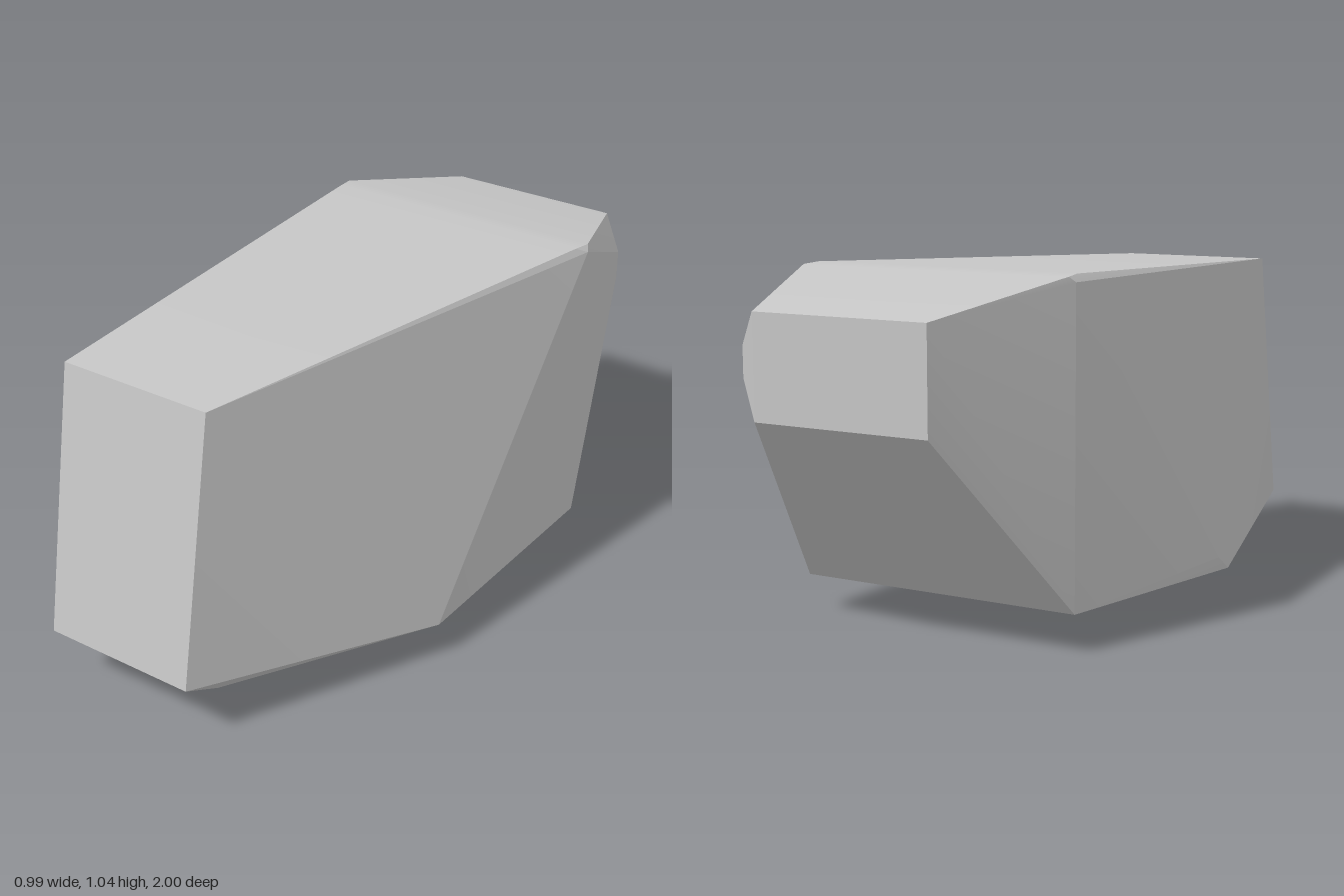
import * as THREE from 'three';
import { ConvexGeometry } from 'three/addons/geometries/ConvexGeometry.js';
import { toCreasedNormals } from 'three/addons/utils/BufferGeometryUtils.js';

export function createModel() {
  const group = new THREE.Group();
  group.name = 'rock';
  const stone = new THREE.MeshStandardMaterial({ color: 0xc6c6c6 });
  stone.name = 'light grey stone';

  const points = [];
  const add = (x, y, z) => points.push(new THREE.Vector3(x, y, z));
  // the same height and depth at two x positions
  const pair = (x0, x1, y, z) => { add(x0, y, z); add(x1, y, z); };

  // front face and the lip under it
  pair(-0.346, 0.147, 0.997, 0.863);
  pair(-0.346, 0.147, 0.183, 1.0);
  pair(-0.346, 0.147, 0.11, 0.863);
  // softened top ridge
  pair(-0.40, 0.47, 1.045, -0.5);
  pair(-0.408, 0.478, 1.041, -0.56);
  pair(-0.419, 0.491, 1.025, -0.54);
  // back face and its chipped corner
  pair(-0.247, 0.314, 0.95, -1);
  pair(-0.247, 0.314, 0.65, -1);
  add(0.39, 0.85, -0.95);
  add(0.39, 0.76, -0.95);
  // rear edge of the base
  pair(-0.42, 0.491, 0.11, -0.545);
  // wide lower corners
  add(0.491, 0.11, 0.25);
  add(-0.495, 0.072, 0.3);
  add(-0.495, 0.12, 0.23);
  // blunt underside
  pair(-0.16, -0.04, 0, 0.26);
  add(-0.1, 0, 0.32);
  add(-0.1, 0, 0.2);
  pair(-0.37, 0.17, 0.034, 0.27);
  add(-0.1, 0.04, 0.53);

  // blend the shallow folds, keep the real edges sharp
  const mesh = new THREE.Mesh(toCreasedNormals(new ConvexGeometry(points), 0.25), stone);
  mesh.name = 'boulder';
  group.add(mesh);
  return group;
}
